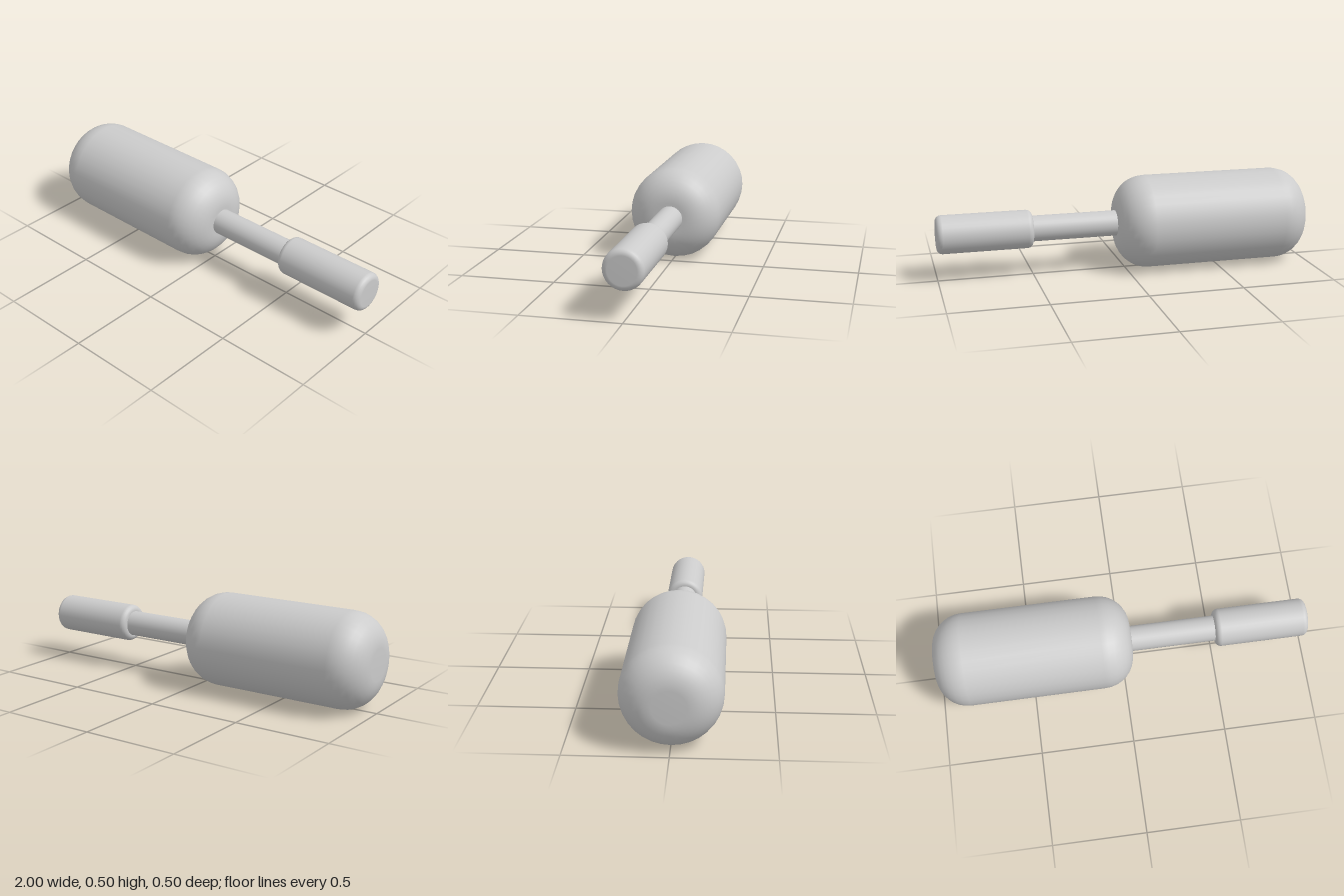
import * as THREE from 'three';

const AXIS_Y = 0.248;
const SIDES = 32;

// Closed cylinder along x with rounded rims
function roundedCylinder(name, x0, x1, radius, bevel, steps) {
  const points = [new THREE.Vector2(0, x0)];
  const addRim = (centre, from) => {
    for (let i = 0; i <= steps; i++) {
      const a = from + (i / steps) * Math.PI / 2;
      points.push(new THREE.Vector2(radius - bevel + bevel * Math.cos(a), centre + bevel * Math.sin(a)));
    }
  };
  addRim(x0 + bevel, -Math.PI / 2);
  addRim(x1 - bevel, 0);
  points.push(new THREE.Vector2(0, x1));
  return alongX(name, new THREE.LatheGeometry(points, SIDES));
}

// Turn a y-axis solid so that it lies along x
function alongX(name, geometry) {
  const material = new THREE.MeshStandardMaterial({ color: 0xcccccc });
  const mesh = new THREE.Mesh(geometry.rotateZ(-Math.PI / 2), material);
  mesh.name = name;
  mesh.position.y = AXIS_Y;
  return mesh;
}

export function createModel() {
  const group = new THREE.Group();
  group.name = 'mallet';

  // Large rounded head and small rounded grip
  group.add(roundedCylinder('head', -1, 0.05, 0.248, 0.165, 8));
  group.add(roundedCylinder('grip', 0.5, 1, 0.101, 0.03, 5));

  // Shaft joining them, with its ends sunk into both
  const shaft = alongX('shaft', new THREE.CylinderGeometry(0.068, 0.068, 0.5, SIDES));
  shaft.position.x = 0.275;
  group.add(shaft);

  return group;
}
